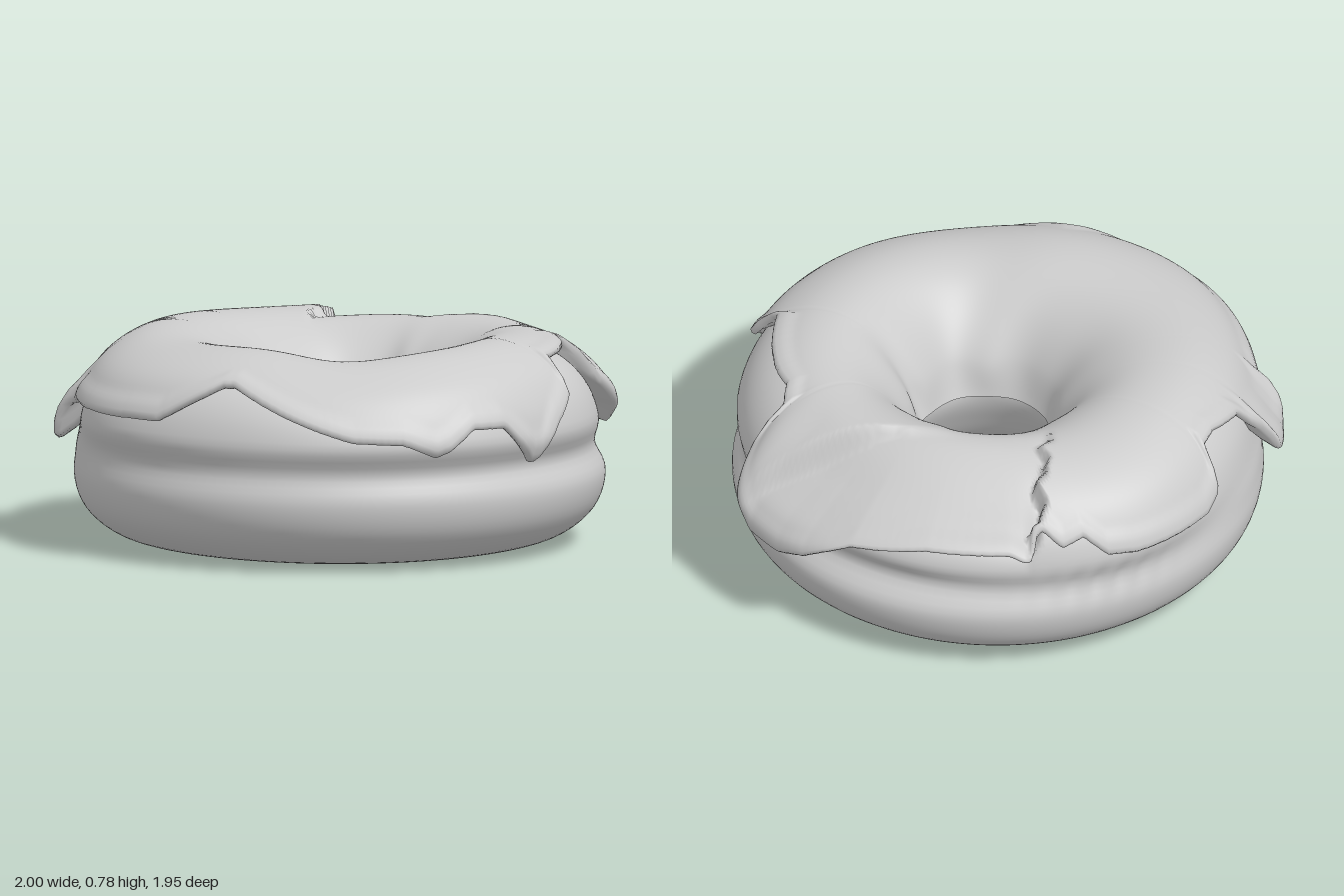
import * as THREE from 'three';

const SEG = 480;
const rad = Math.PI / 180;
const smooth = (a, b, v) => THREE.MathUtils.smoothstep(v, a, b);
const bump = (deg, centre, width) => {
  const d = ((deg - centre + 540) % 360) - 180;
  return Math.exp(-((d / width) ** 2));
};
const spline = (pts, closed) =>
  new THREE.CatmullRomCurve3(pts.map(([r, y]) => new THREE.Vector3(r, y, 0)), closed, 'centripetal');

// Linear lookup in a list of [angle, value] pairs
function lookup(keys, deg) {
  let i = 1;
  while (i < keys.length - 1 && keys[i][0] < deg) i++;
  const [a, va] = keys[i - 1], [b, vb] = keys[i];
  return THREE.MathUtils.mapLinear(deg, a, b, va, vb);
}

// Height of the icing's outer edge around the ring; 0 is +x, 90 is the front
const EDGE = [
  [0, 0.72], [12, 0.715], [13.5, 0.69], [15, 0.59], [22, 0.51], [25, 0.46], [28, 0.39], [30, 0.39],
  [33, 0.44], [38, 0.53], [46, 0.535], [52, 0.46], [55, 0.44], [62, 0.495], [73, 0.51], [101, 0.68],
  [104, 0.675], [118, 0.545], [161, 0.54], [167, 0.5], [169, 0.38], [173, 0.36], [178, 0.4],
  [182, 0.42], [184, 0.54], [188, 0.63], [200, 0.675], [206, 0.67], [208, 0.52], [213, 0.48],
  [233, 0.49], [240, 0.51], [245, 0.59], [250, 0.56], [254, 0.62], [257, 0.61], [262, 0.65],
  [280, 0.64], [296, 0.58], [306, 0.43], [313, 0.38], [322, 0.38], [328, 0.47], [333.5, 0.57],
  [335, 0.71], [342, 0.735], [350, 0.725], [360, 0.72],
];

// Shared placement: a profile point (r, y) at an angle, with swells, folds and the sloping back section
function place(deg, r, y) {
  const a = deg * rad;
  const inner = 1 - smooth(0.25, 0.8, r);
  const top = smooth(0.4, 0.72, y);
  // Fuller shoulders
  const swell = 0.05 * bump(deg, 62, 52) + 0.05 * bump(deg, 134, 25) + 0.035 * bump(deg, 230, 22)
    + 0.015 * bump(deg, 8, 25);
  r += smooth(0.35, 0.48, y) * smooth(0.6, 0.88, r) * swell;
  // Folds running into the hole
  const fold = 0.5 * Math.sin(5 * a) + 0.3 * Math.sin(8 * a + 2.3) - 1.3 * bump(deg, 15, 9) + bump(deg, 290, 8);
  r -= fold * 0.02 * (1 - smooth(0.25, 0.6, r)) * smooth(0.3, 0.5, y);
  const x = 0.03 + 0.045 * inner + r * Math.cos(a);
  const z = 0.005 + r * Math.sin(a);
  y += top * (0.008 * Math.sin(4 * a + 0.8) - 0.03 * bump(deg, 78, 20));
  // Back section slopes down outward, bounded by a ragged tear and a crease
  const jag = 0.015 * Math.sin(z * 37) + 0.008 * Math.sin(z * 71);
  const width = 0.03 + 0.3 * Math.max(0, 0.35 - x);
  const start = 0.48 + (x < 0.3 ? 0.3 : 0.17) * (x - 0.3);
  const back = smooth(-0.21, -0.185, x + jag) * smooth(0, width, -z - start);
  y -= 0.095 * top * back * smooth(0.42, 0.85, r);
  return [x, y, z];
}

// Surface from one ring of profile points per angle, joined around the ring
function sweep(section, closed) {
  const pos = [], index = [];
  let n = 0;
  for (let i = 0; i < SEG; i++) {
    const deg = (i * 360) / SEG;
    const pts = section(deg);
    n = pts.length;
    for (const [r, y] of pts) pos.push(...place(deg, r, y));
  }
  for (let i = 0; i < SEG; i++) {
    const p = i * n, q = ((i + 1) % SEG) * n;
    for (let j = 0; j < (closed ? n : n - 1); j++) {
      const k = (j + 1) % n;
      index.push(p + j, p + k, q + j, q + j, p + k, q + k);
    }
  }
  const g = new THREE.BufferGeometry();
  g.setAttribute('position', new THREE.Float32BufferAttribute(pos, 3));
  g.setIndex(index);
  g.computeVertexNormals();
  return g;
}

// Dough ring: flat base, lower bulge, waist groove, rounded top, hole flaring downward
function doughGeometry() {
  const pts = spline([
    [0.52, 0.004], [0.42, 0.06], [0.33, 0.19], [0.27, 0.35], [0.33, 0.53], [0.43, 0.65], [0.56, 0.72],
    [0.69, 0.715], [0.81, 0.655], [0.89, 0.56], [0.927, 0.45], [0.932, 0.36], [0.963, 0.26],
    [0.93, 0.14], [0.82, 0.045], [0.64, 0.004],
  ], true).getSpacedPoints(90).slice(0, -1);
  return sweep((deg) => pts.map(({ x, y }) => {
    const waist = Math.exp(-(((y - 0.36) / 0.055) ** 2)) * smooth(0.7, 0.85, x);
    const wrinkle = Math.sin(deg * 1.1 + y * 25) * 0.006 * bump(deg, 240, 14);
    const depth = 0.035 * bump(deg, 295, 38) + 0.012 * bump(deg, 20, 30) - 0.022 * bump(deg, 175, 45);
    return [x - waist * (depth - wrinkle), Math.max(0, y)];
  }), true);
}

// Icing sheet: runs from inside the hole over the top to the dripping edge
function icingGeometry() {
  const fine = spline([
    [0.238, 0.37], [0.285, 0.52], [0.385, 0.66], [0.5, 0.742], [0.61, 0.77], [0.72, 0.757],
    [0.84, 0.685], [0.918, 0.575], [0.95, 0.46], [0.955, 0.34],
  ], false).getSpacedPoints(600);
  const ROWS = 60;
  return sweep((deg) => {
    const edge = lookup(EDGE, deg);
    let end = 599;
    while (end > 330 && fine[end].y < edge) end--;
    // Lifted flaps: the side drip and the back sheet
    const drip = 0.07 * smooth(165, 169, deg) * (1 - smooth(182, 185, deg));
    const sheet = 0.1 * smooth(254, 259, deg) * (1 - smooth(326, 337, deg));
    const out = [];
    for (let j = 0; j <= ROWS; j++) {
      const t = j / ROWS;
      const k = Math.floor(t * end);
      const p = fine[k].clone().lerp(fine[k + 1], t * end - k);
      const lip = 0.012 * smooth(0.9, 0.97, t);
      const slope = fine[k + 1].clone().sub(fine[k]).normalize();
      const flare = drip * smooth(0.8, 1, t) + sheet * smooth(0.6, 1, t);
      out.push([p.x - slope.y * lip + flare, p.y + slope.x * lip]);
      if (j === ROWS) {
        // Rounded rim, tucked back into the dough
        const [r, y] = out[ROWS];
        const rim = (along, inward) =>
          out.push([r + slope.x * along + slope.y * inward, y + slope.y * along - slope.x * inward]);
        rim(0.01, 0.012);
        rim(0.006, 0.026);
        rim(-0.03, 0.034 + (drip + sheet) * 0.6);
        rim(-0.08, 0.06 + drip + sheet);
      }
    }
    return out;
  }, false);
}

export function createModel() {
  const group = new THREE.Group();
  group.name = 'icedRing';
  const material = new THREE.MeshStandardMaterial({ color: 0xcccccc, side: THREE.DoubleSide });
  const add = (name, geometry) => {
    const mesh = new THREE.Mesh(geometry, material);
    mesh.name = name;
    group.add(mesh);
  };
  add('dough', doughGeometry());
  add('icing', icingGeometry());
  return group;
}
